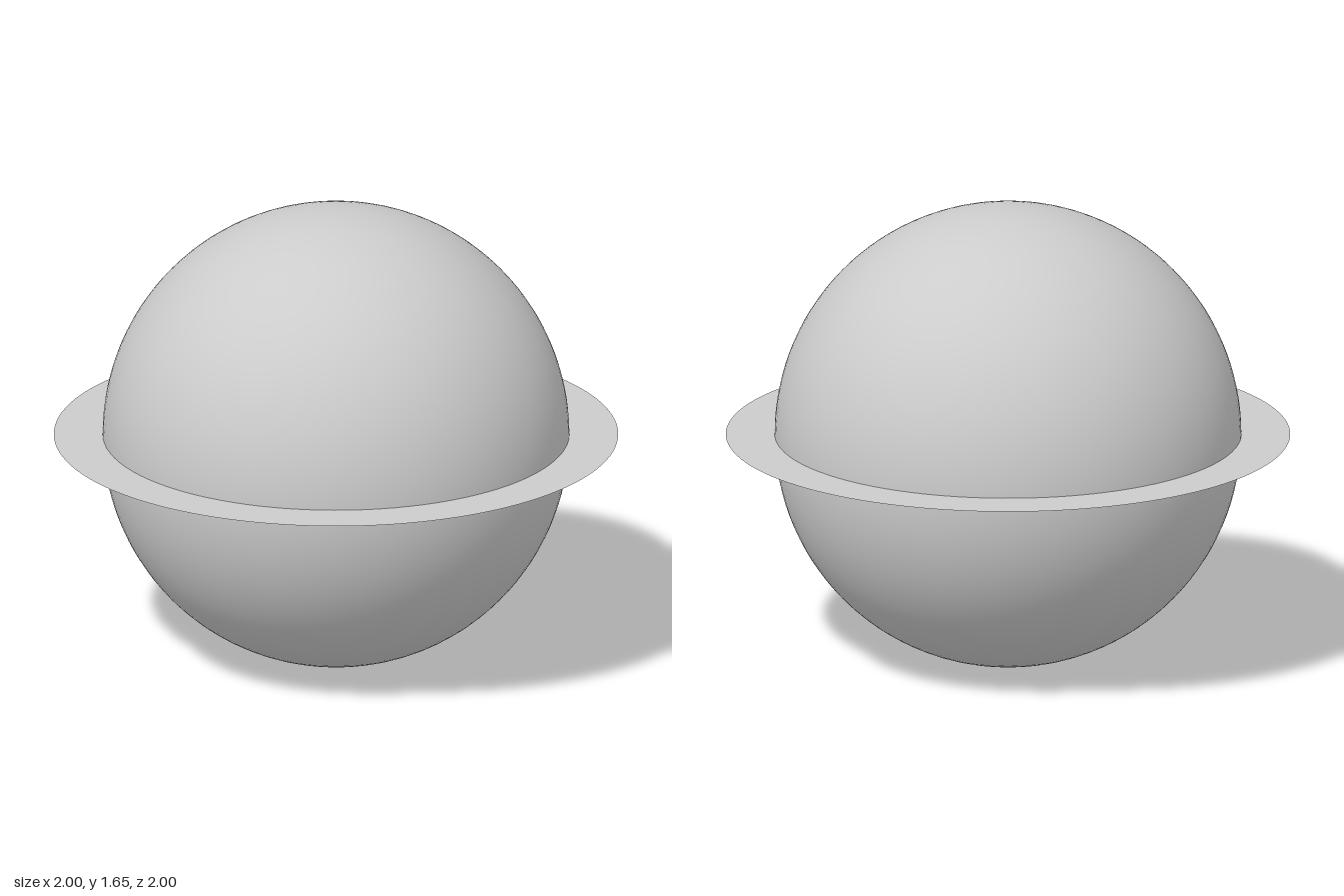
import * as THREE from 'three';

const RADIUS = 0.827; // globe radius, also the height of its equator
const RING_OUTER = 1;

export function createModel() {
  const model = new THREE.Group();
  model.name = 'ringedPlanet';

  // Smooth globe resting on the ground plane
  const globe = new THREE.Mesh(
    new THREE.SphereGeometry(RADIUS, 96, 64),
    new THREE.MeshStandardMaterial({ color: 0xcccccc })
  );
  globe.name = 'globe';
  globe.position.y = RADIUS;
  model.add(globe);

  // Paper-thin flat ring around the equator, tucked slightly into the globe
  const ring = new THREE.Mesh(
    new THREE.RingGeometry(RADIUS - 0.01, RING_OUTER, 128).rotateX(-Math.PI / 2),
    new THREE.MeshStandardMaterial({ color: 0xcccccc, side: THREE.DoubleSide })
  );
  ring.name = 'ring';
  ring.position.y = RADIUS;
  model.add(ring);

  return model;
}
